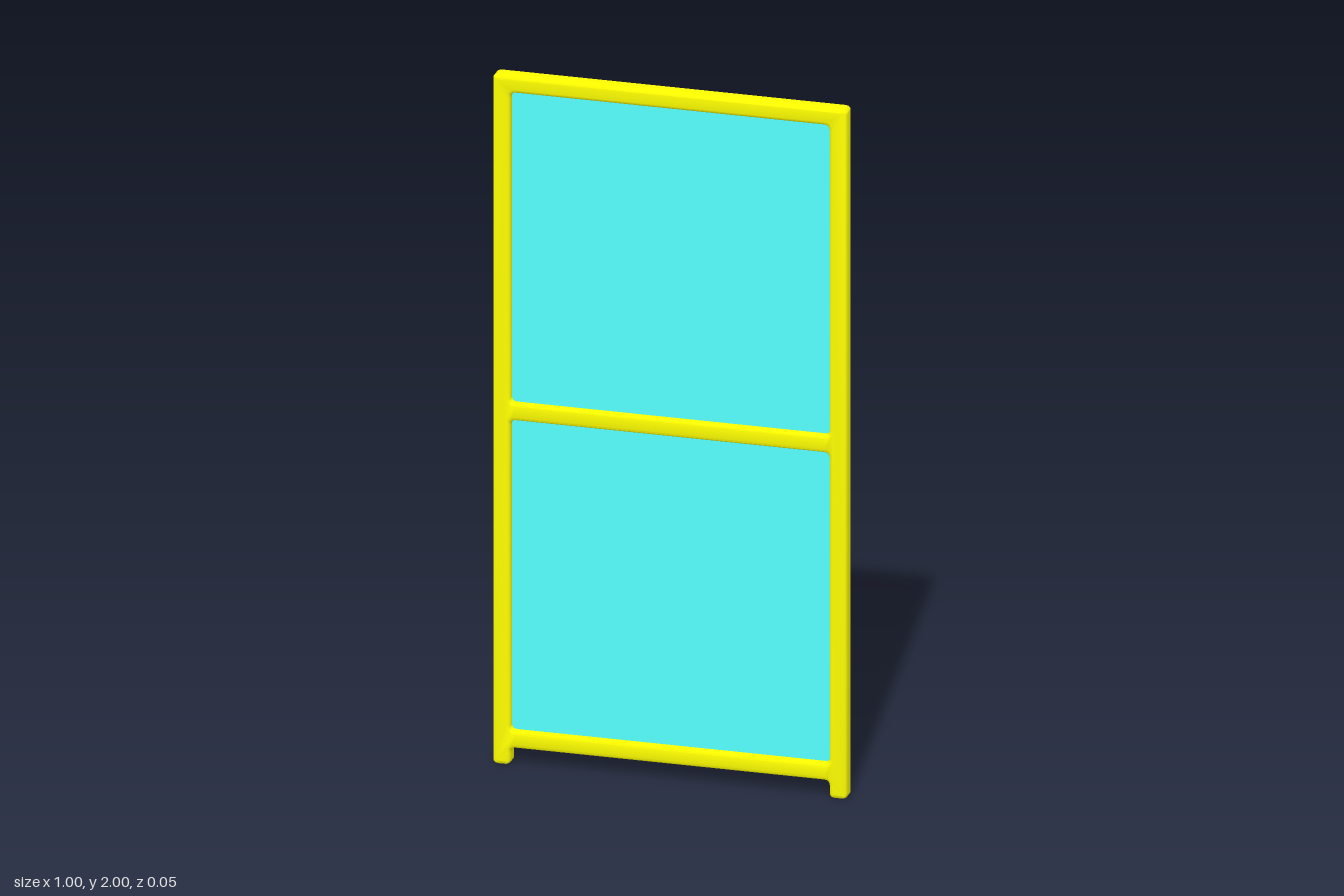
import * as THREE from 'three';
import { toCreasedNormals } from 'three/addons/utils/BufferGeometryUtils.js';

const BEVEL = 0.01;
const CORNER = 0.015;
const DEPTH = 0.05;

// Traces a closed polygon with softened corners
function softPath(path, corners) {
  const pts = corners.map(([x, y]) => new THREE.Vector2(x, y));
  pts.forEach((p, i) => {
    const prev = pts[(i + pts.length - 1) % pts.length];
    const next = pts[(i + 1) % pts.length];
    const a = prev.clone().sub(p).setLength(CORNER).add(p);
    const b = next.clone().sub(p).setLength(CORNER).add(p);
    if (i === 0) path.moveTo(a.x, a.y);
    else path.lineTo(a.x, a.y);
    path.quadraticCurveTo(p.x, p.y, b.x, b.y);
  });
  path.closePath();
  return path;
}

export function createModel() {
  const group = new THREE.Group();
  group.name = 'framedPanel';
  const yellow = new THREE.MeshStandardMaterial({ color: 0xffff00 });
  const cyan = new THREE.MeshStandardMaterial({ color: 0x55ffff });

  // Frame outline: two posts that run down into short feet
  const outline = softPath(new THREE.Shape(), [
    [-0.5, 0], [-0.45, 0], [-0.45, 0.05], [0.45, 0.05],
    [0.45, 0], [0.5, 0], [0.5, 2], [-0.5, 2],
  ]);

  // Openings between the bottom, middle and top rails
  const openings = [
    { name: 'lowerPane', y0: 0.1, y1: 1.0 },
    { name: 'upperPane', y0: 1.05, y1: 1.95 },
  ];
  for (const { name, y0, y1 } of openings) {
    outline.holes.push(softPath(new THREE.Path(), [
      [-0.45, y0], [-0.45, y1], [0.45, y1], [0.45, y0],
    ]));

    // Thin pane filling the opening
    const pane = new THREE.Mesh(new THREE.BoxGeometry(0.9, y1 - y0, 0.01), cyan);
    pane.name = name;
    pane.position.y = (y0 + y1) / 2;
    group.add(pane);
  }

  // Frame with rounded edges front and back
  const geometry = new THREE.ExtrudeGeometry(outline, {
    depth: DEPTH - 2 * BEVEL,
    bevelThickness: BEVEL,
    bevelSize: BEVEL,
    bevelOffset: -BEVEL,
    bevelSegments: 3,
    curveSegments: 4,
  });
  geometry.translate(0, 0, BEVEL - DEPTH / 2);
  const frame = new THREE.Mesh(toCreasedNormals(geometry, 0.7), yellow);
  frame.name = 'frame';
  group.add(frame);

  return group;
}
